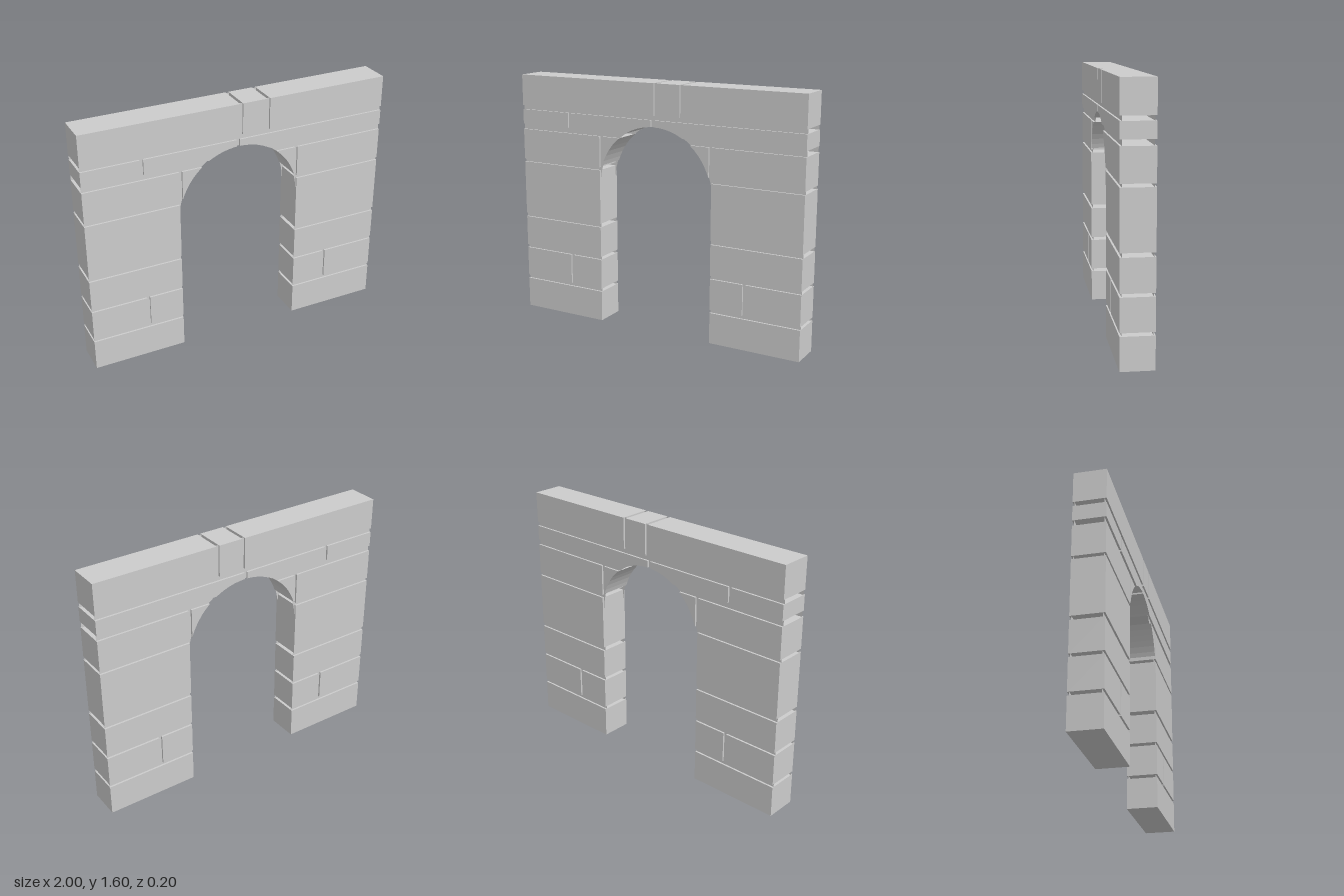
import * as THREE from 'three';

const DEPTH = 0.2;          // wall thickness
const R = 0.4, SPRING = 0.93; // arch radius and springing height
const STEPS = 32;
const MORTAR_Z = 0.088;     // mortar sheets sit just behind each face

const material = new THREE.MeshStandardMaterial({ color: 0xcccccc, flatShading: true });
const mortarMaterial = new THREE.MeshStandardMaterial({ color: 0xcccccc, side: THREE.DoubleSide });

// Points on the arch, left to right
const archPoints = Array.from({ length: STEPS + 1 }, (_, i) => {
  const a = Math.PI * (1 - i / STEPS);
  return new THREE.Vector2(R * Math.cos(a), SPRING + R * Math.sin(a));
});
const archY = (x) => (Math.abs(x) < R ? SPRING + Math.sqrt(R * R - x * x) : -1);

// Plain rectangular stone
function block(name, x0, x1, y0, y1) {
  const mesh = new THREE.Mesh(new THREE.BoxGeometry(x1 - x0, y1 - y0, DEPTH), material);
  mesh.position.set((x0 + x1) / 2, (y0 + y1) / 2, 0);
  mesh.name = name;
  return mesh;
}

// Stone whose underside is cut by the arch
function archStone(name, x0, x1, y0, y1) {
  const bottom = [x0, x1].map((x) => new THREE.Vector2(x, Math.max(y0, archY(x))));
  const cross = Math.sqrt(Math.max(0, R * R - (y0 - SPRING) ** 2));
  for (const x of [-cross, cross]) {
    if (x > x0 && x < x1) bottom.push(new THREE.Vector2(x, y0));
  }
  for (const p of archPoints) {
    if (p.x > x0 + 1e-4 && p.x < x1 - 1e-4 && p.y > y0 + 1e-4) bottom.push(p.clone());
  }
  bottom.sort((a, b) => a.x - b.x);
  const top = [new THREE.Vector2(x1, y1), new THREE.Vector2(x0, y1)]
    .filter((p) => bottom.every((q) => q.distanceTo(p) > 1e-4));
  const geometry = new THREE.ExtrudeGeometry(new THREE.Shape([...bottom, ...top]), {
    depth: DEPTH, bevelEnabled: false,
  });
  geometry.translate(0, 0, -DEPTH / 2);
  const mesh = new THREE.Mesh(geometry, material);
  mesh.name = name;
  return mesh;
}

export function createModel() {
  const model = new THREE.Group();
  model.name = 'stoneArchway';

  // Piers, mirrored left and right
  const courses = [
    ['baseStone', 0.4, 1, 0, 0.2],
    ['pierInnerStone', 0.4, 0.62, 0.22, 0.42],
    ['pierOuterStone', 0.64, 1, 0.22, 0.42],
    ['pierStone', 0.4, 1, 0.44, 0.64],
    ['pierTallStone', 0.4, 1, 0.665, 1.02],
    ['shoulderStone', 0.4, 1, 1.04, 1.24],
  ];
  for (const [name, x0, x1, y0, y1] of courses) {
    model.add(block(name + 'Left', x0, x1, y0, y1));
    model.add(block(name + 'Right', -x1, -x0, y0, y1));
  }

  // Spandrels filling the corners of the arch
  const tip = Math.sqrt(R * R - (1.24 - SPRING) ** 2);
  model.add(archStone('spandrelLeft', tip, 0.38, 1.04, 1.24));
  model.add(archStone('spandrelRight', -0.38, -tip, 1.04, 1.24));

  // Thin course over the arch
  model.add(block('lintelEndStone', -1, -0.64, 1.275, 1.372));
  model.add(archStone('lintelStoneRight', -0.62, -0.02, 1.275, 1.372));
  model.add(archStone('lintelStoneLeft', 0, 1, 1.275, 1.372));

  // Top course with a narrow key block
  model.add(block('topStoneRight', -1, 0, 1.4, 1.6));
  model.add(block('keyBlock', 0.02, 0.18, 1.4, 1.6));
  model.add(block('topStoneLeft', 0.2, 1, 1.4, 1.6));

  // Mortar sheets behind the joints, front and back
  const outline = new THREE.Shape([
    new THREE.Vector2(1, 0), new THREE.Vector2(1, 1.6),
    new THREE.Vector2(-1, 1.6), new THREE.Vector2(-1, 0),
    new THREE.Vector2(-R, 0), ...archPoints, new THREE.Vector2(R, 0),
  ]);
  const sheet = new THREE.ShapeGeometry(outline);
  for (const side of [1, -1]) {
    const mortar = new THREE.Mesh(sheet, mortarMaterial);
    mortar.name = side > 0 ? 'mortarFront' : 'mortarBack';
    mortar.position.z = side * MORTAR_Z;
    // turn the rear sheet to face backwards
    if (side < 0) mortar.rotation.y = Math.PI;
    model.add(mortar);
  }

  return model;
}
